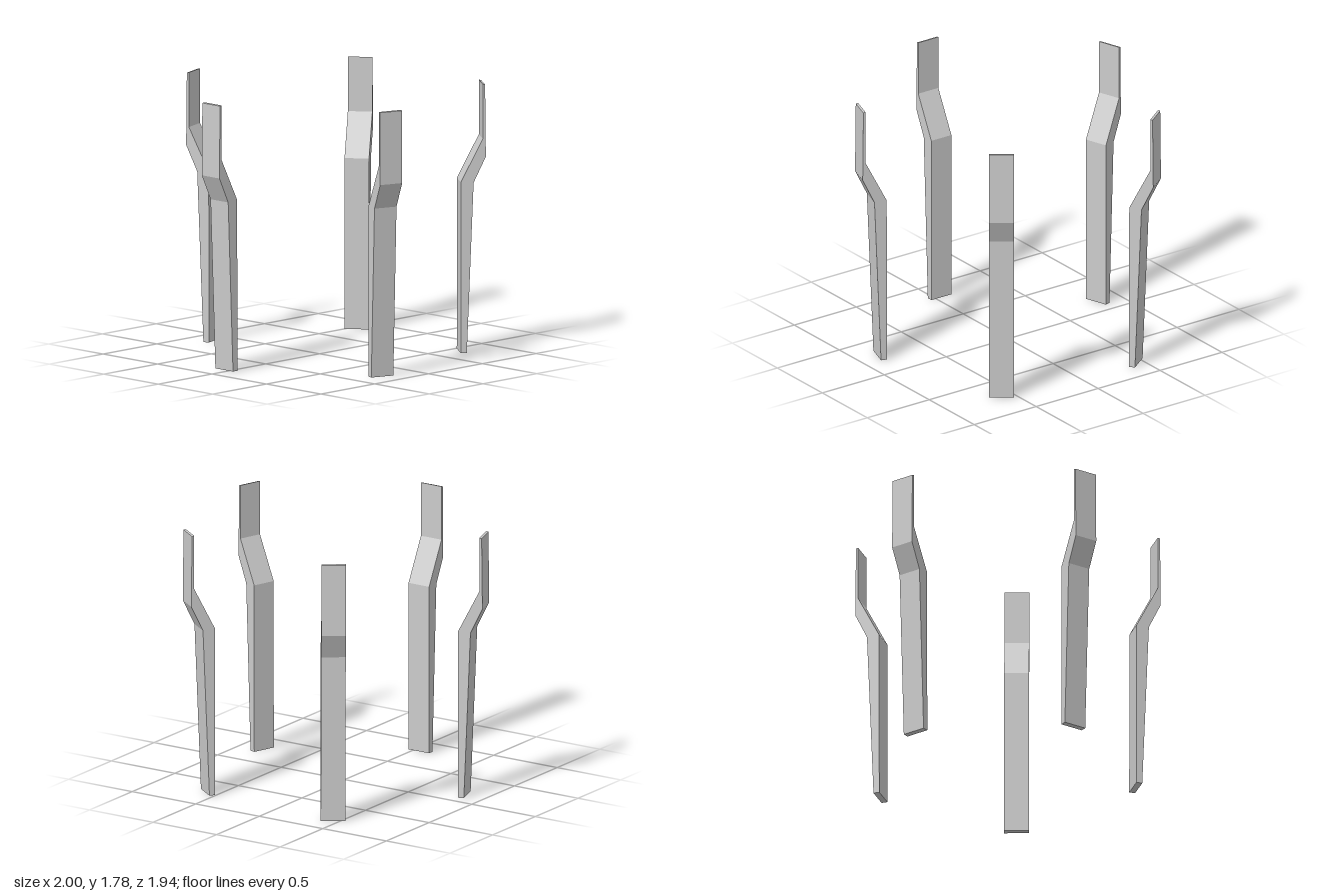
import * as THREE from 'three';

export function createModel() {
  const model = new THREE.Group();
  model.name = 'postRing';
  const material = new THREE.MeshStandardMaterial({ color: 0xcccccc, flatShading: true });

  // Side profile of one cranked post: distance from the ring centre, height
  const profile = [
    [0.858, 0], [0.898, 0], [0.943, 1.13], [1.024, 1.3],
    [1.019, 1.78], [1.004, 1.783], [1.004, 1.42], [0.859, 1.135],
  ];
  const shape = new THREE.Shape(profile.map(([r, y]) => new THREE.Vector2(r, y)));
  const geometry = new THREE.ExtrudeGeometry(shape, { depth: 0.162, bevelEnabled: false });
  // Turn the profile to face +z, set slightly off the radial line
  geometry.rotateY(-Math.PI / 2);
  geometry.translate(0.019, 0, 0);

  // Five posts evenly spaced around the ring
  const count = 5;
  for (let i = 0; i < count; i++) {
    const post = new THREE.Mesh(geometry, material);
    post.name = `post${i + 1}`;
    post.rotation.y = (i * Math.PI * 2) / count;
    post.position.set(0.018, 0, -0.056);
    model.add(post);
  }
  return model;
}
